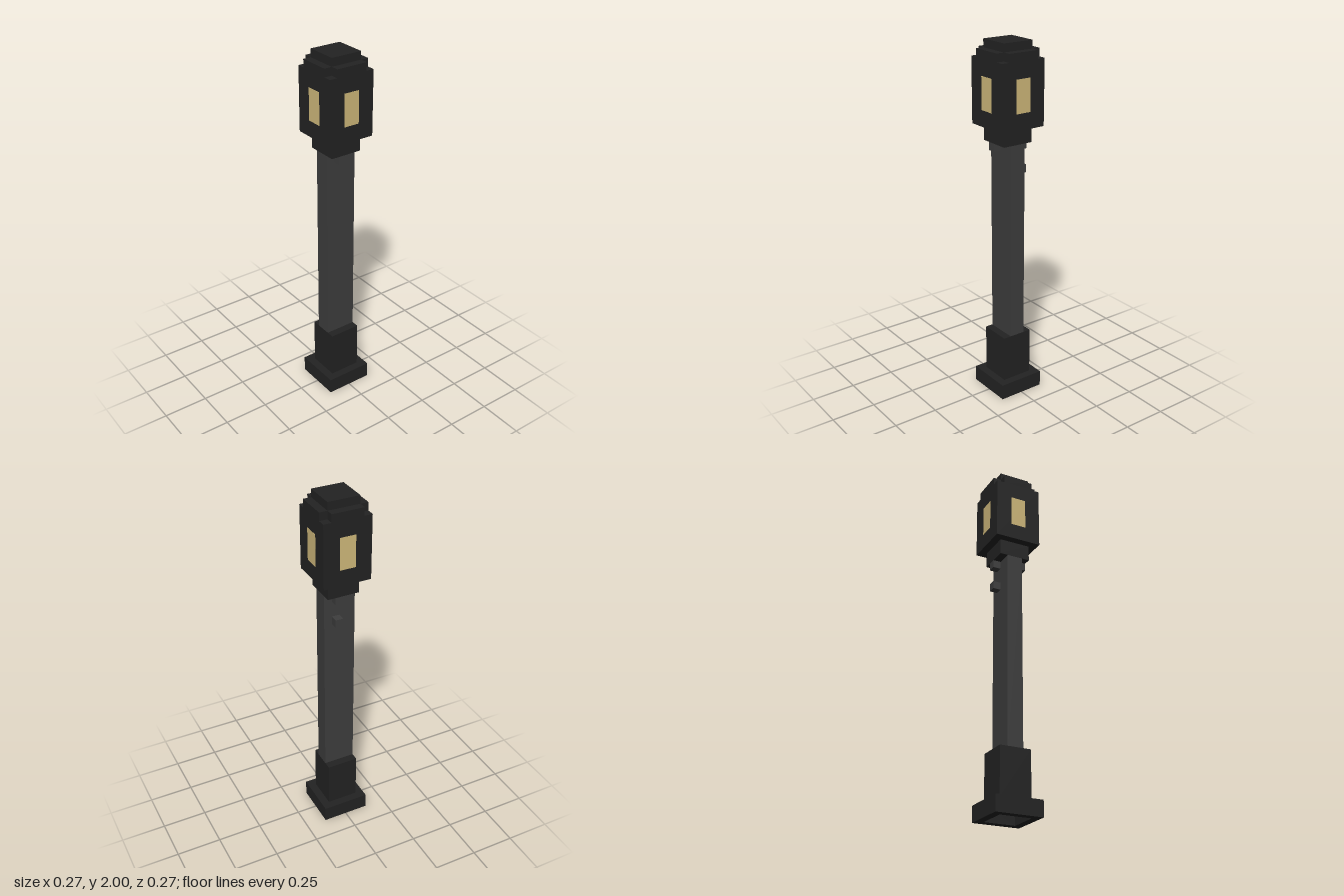
import * as THREE from 'three';

const U = 2 / 45; // one block unit

export function createModel() {
  const model = new THREE.Group();
  model.name = 'lampPost';
  const mat = (name, color) => {
    const m = new THREE.MeshStandardMaterial({ color });
    m.name = name;
    return m;
  };
  const iron = mat('black iron', 0x232323);
  const grey = mat('grey post', 0x3e3e3e);
  const glow = mat('warm glass', 0xd2bb7c);

  // box from its lower and upper y, and its x and z centre, in block units
  const box = (name, material, w, d, y0, y1, x = 0, z = 0) => {
    const mesh = new THREE.Mesh(new THREE.BoxGeometry(w * U, (y1 - y0) * U, d * U), material);
    mesh.name = name;
    mesh.position.set(x * U, (y0 + y1) / 2 * U, z * U);
    model.add(mesh);
    return mesh;
  };

  // foot: square ring, hollow underneath
  const ring = new THREE.Shape();
  const square = (path, h) => path.moveTo(-h, -h).lineTo(h, -h).lineTo(h, h).lineTo(-h, h).closePath();
  square(ring, 3 * U);
  ring.holes.push(square(new THREE.Path(), 2 * U));
  const footGeo = new THREE.ExtrudeGeometry(ring, { depth: 2 * U, bevelEnabled: false });
  footGeo.rotateX(-Math.PI / 2);
  const foot = new THREE.Mesh(footGeo, iron);
  foot.name = 'foot';
  model.add(foot);

  // plinth, post and collar
  box('plinth', iron, 4, 4, 2, 8);
  box('post', grey, 2, 4, 8, 33);
  box('collar', iron, 4, 4, 33, 35);

  // small pegs on the post
  box('leftPeg', grey, 1, 1, 32, 33, 1.5, 0.5);
  box('rightPeg', grey, 1, 1, 32, 33, -1.5, -0.5);
  box('lowerPeg', grey, 1, 1, 29, 30, -1.5, -0.5);

  // lantern with notched top corners
  box('lantern', iron, 6, 6, 35, 43);
  box('lanternTop', iron, 4, 6, 43, 44);
  for (const s of [-1, 1]) box('lanternTopSide', iron, 1, 4, 43, 44, s * 2.5);
  box('cap', iron, 4, 4, 44, 45);

  // a glass pane on each side
  for (let i = 0; i < 4; i++) {
    const a = i * Math.PI / 2;
    const pane = box('pane', glow, 2, 0.04, 37, 41, Math.sin(a) * 3, Math.cos(a) * 3);
    pane.rotation.y = a;
  }
  return model;
}
